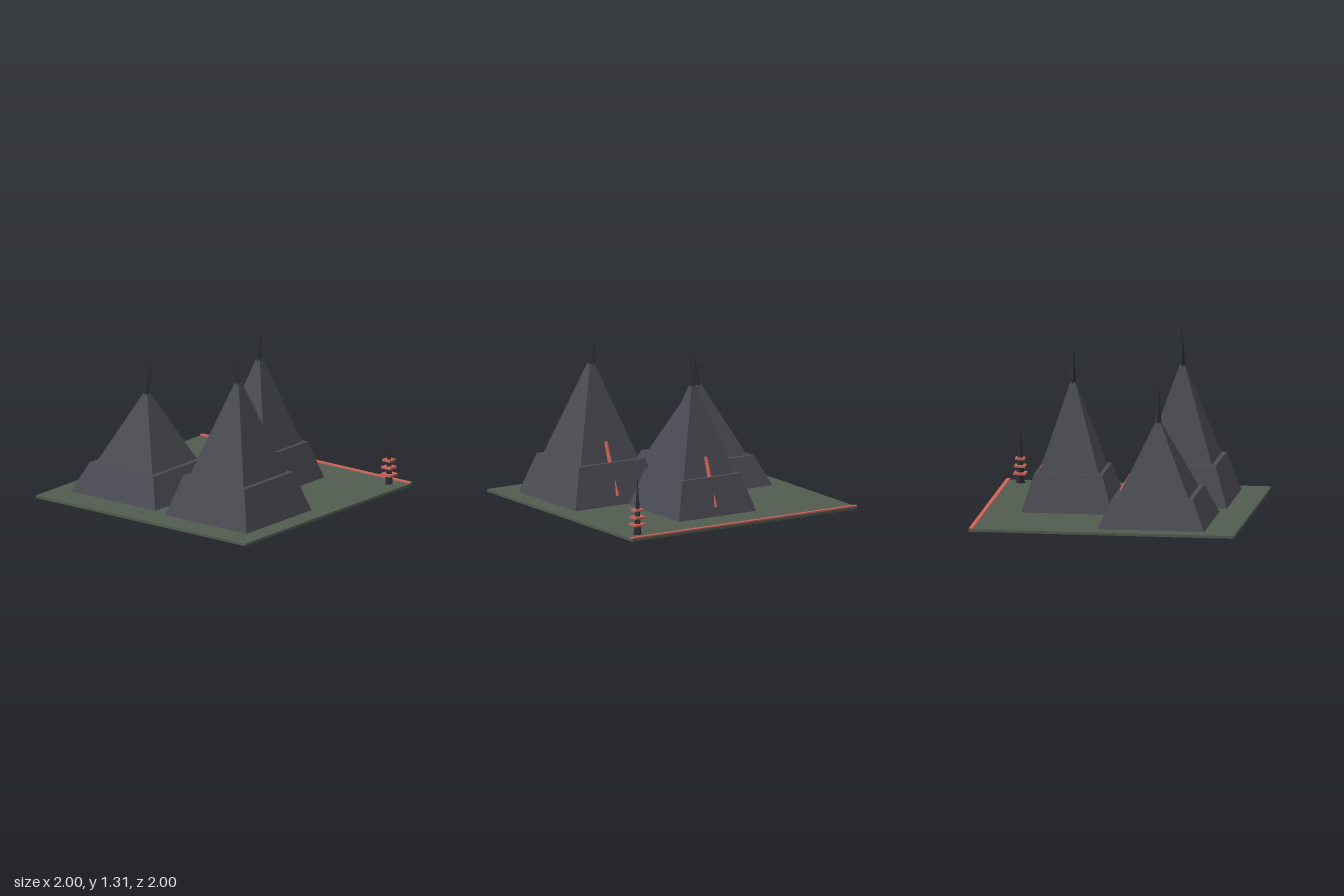
import * as THREE from 'three';

const mat = (name, color) => {
  const m = new THREE.MeshStandardMaterial({ color, flatShading: true });
  m.name = name;
  return m;
};

export function createModel() {
  const stone = mat('grey stone', 0x4b4b53);
  const dark = mat('dark stone', 0x2f2f34);
  const ground = mat('moss green', 0x515c50);
  const red = mat('coral red', 0xc9645a);
  const root = new THREE.Group();
  root.name = 'pyramidVillage';

  const add = (parent, name, geo, material, x, y, z) => {
    const mesh = new THREE.Mesh(geo, material);
    mesh.name = name;
    mesh.position.set(x, y, z);
    parent.add(mesh);
    return mesh;
  };

  // Square frustum from y0 to y1, sized by half widths
  const frustum = (parent, name, bottom, top, y0, y1) => add(parent, name,
    new THREE.CylinderGeometry(top * Math.SQRT2, bottom * Math.SQRT2, y1 - y0, 4, 1, false, Math.PI / 4),
    stone, 0, (y0 + y1) / 2, 0);

  // Ground slab and border strip along the back
  add(root, 'groundSlab', new THREE.BoxGeometry(2, 0.02, 2), ground, 0, 0.01, 0);
  add(root, 'backBorder', new THREE.BoxGeometry(2, 0.01, 0.03), red, 0, 0.025, -0.983);

  // Pyramids: stepped body, leaning spire, slanted rod on the back
  const pyramids = [
    { name: 'leftPyramid', x: -0.457, z: 0.353, half: 0.404, step: 0.242, top: 0.765, tip: 1.04, lean: 0.04, rodTop: [0.365, 0.133], rodLow: [0.09, -0.029] },
    { name: 'backPyramid', x: 0.051, z: -0.361, half: 0.343, step: 0.303, top: 0.955, tip: 1.255, lean: 0.024, rodTop: [0.45, -0.551], rodLow: [0.09, -0.692] },
    { name: 'rightPyramid', x: 0.459, z: 0.406, half: 0.39, step: 0.324, top: 1.03, tip: 1.31, lean: -0.041, rodTop: [0.475, 0.19], rodLow: [0.09, 0.027] },
  ];
  for (const p of pyramids) {
    const g = new THREE.Group();
    g.name = p.name;
    g.position.set(p.x, 0, p.z);
    root.add(g);
    frustum(g, 'lowerTier', p.half, p.half * 0.75, 0.02, p.step);
    frustum(g, 'upperTier', p.half * 0.66, 0.02, p.step, p.top);

    // Spire tilted so that its tip lands at the given lean
    const y0 = p.top - 0.01, h = p.tip - y0;
    const spire = add(g, 'spire', new THREE.ConeGeometry(0.025, Math.hypot(h, p.lean), 4), dark,
      p.lean / 2, y0 + h / 2, 0);
    spire.rotation.z = -Math.atan2(p.lean, h);

    // Rod whose outer ridge follows the two given points
    const [yt, zt] = p.rodTop, [yl, zl] = p.rodLow;
    const angle = Math.atan2(zt - zl, yt - yl), r = 0.018;
    const rod = add(g, 'backRod', new THREE.CylinderGeometry(r, r, Math.hypot(yt - yl, zt - zl), 6), red,
      0, (yt + yl) / 2 - r * Math.sin(angle), (zt + zl) / 2 + r * Math.cos(angle) - p.z);
    rod.rotation.x = angle;
  }

  // Obelisk with three square rings
  const tower = new THREE.Group();
  tower.name = 'obelisk';
  tower.position.set(0.877, 0, -0.877);
  root.add(tower);
  add(tower, 'obeliskShaft', new THREE.ConeGeometry(0.035, 0.44, 4), dark, 0, 0.24, 0);
  [[0.094, 0.047], [0.15, 0.042], [0.206, 0.036]].forEach(([y, half]) =>
    add(tower, 'obeliskRing', new THREE.BoxGeometry(half * 2, 0.016, half * 2), red, 0, y, 0));

  return root;
}
